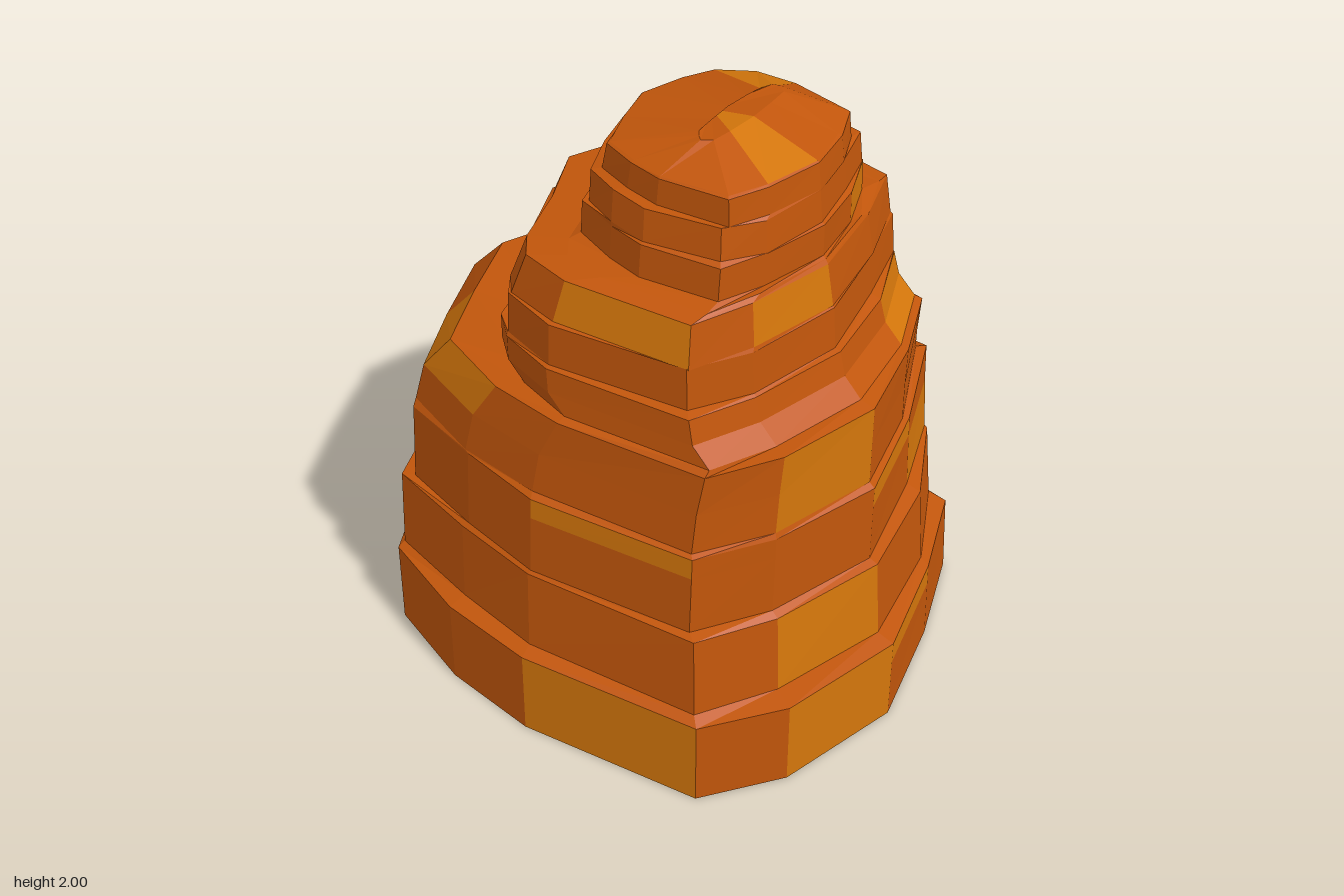
import * as THREE from 'three';

// Normalised outlines of the rock seen from above, from the back round by +x
const BROAD = [
  [-0.03, -1], [0.42, -0.86], [0.74, -0.72], [0.96, -0.38], [1, 0.05], [0.89, 0.73], [0.48, 0.89],
  [-0.03, 1], [-0.57, 0.88], [-0.9, 0.71], [-1, 0.03], [-0.94, -0.33], [-0.82, -0.7], [-0.44, -0.86],
];
const N = BROAD.length;
// The middle tiers narrow towards a blunt point at the back
const POINTED = BROAD.map(([u, v]) => (v < 0.1 && v > -1 ? [u * (1 + 0.06 * v), v + 0.17 * (v < -0.5 ? 0.4 : -1)] : [u, v]));

// Rings of each tier from the ground up: [y, xMin, xMax, zFront, zBack]
const TIERS = [
  [[0, -0.78, 0.77, 0.91, -0.92], [0.305, -0.78, 0.74, 0.91, -0.92]],
  [[0.32, -0.73, 0.75, 0.85, -0.88], [0.595, -0.71, 0.73, 0.83, -0.88]],
  [[0.605, -0.7, 0.73, 0.8, -0.84], [0.885, -0.69, 0.69, 0.8, -0.83]],
  [[0.9, -0.67, 0.625, 0.78, -0.83], [1.04, -0.655, 0.615, 0.78, -0.79], [1.18, -0.64, 0.6, 0.78, -0.66]],
  [[1.19, -0.61, 0.6, 0.73, -0.4], [1.25, -0.61, 0.595, 0.67, -0.46], [1.33, -0.605, 0.585, 0.65, -0.46]],
  [[1.335, -0.59, 0.58, 0.63, -0.45], [1.475, -0.585, 0.57, 0.62, -0.44]],
  [[1.48, -0.57, 0.565, 0.615, -0.43], [1.615, -0.54, 0.55, 0.59, -0.37], [1.628, -0.48, 0.48, 0.58, -0.22]],
  [[1.635, -0.42, 0.39, 0.57, -0.16], [1.74, -0.41, 0.385, 0.57, -0.16]],
  [[1.745, -0.4, 0.37, 0.56, -0.15], [1.845, -0.385, 0.365, 0.55, -0.15]],
  [[1.85, -0.355, 0.315, 0.55, -0.11], [1.935, -0.35, 0.31, 0.54, -0.09]],
  [[1.94, -0.345, 0.305, 0.535, -0.085], [2, -0.2, 0.18, 0.31, 0.22]],
];
// Tiers whose wall is split by a line of chips below the rim
const SPLIT = [0, 2];
TIERS.forEach((rings, n) => {
  if (SPLIT.includes(n)) rings.splice(1, 0, rings[0].map((a, i) => a + 0.74 * (rings[1][i] - a)));
});

// Ochre segments of each band of each tier, the last band being the ledge or crown
const OCHRE = [
  [[7, 9, 12], [6, 7, 9, 12], [4]],
  [[7, 2], []],
  [[4, 5], [4, 6, 9], []],
  [[2, 7, 12], [2, 7, 11, 12], []],
  [[5], [5], []],
  [[12], []],
  [[4, 7, 9], [], [0, 13]],
  [[5], []],
  [[], []],
  [[], []],
  [[2, 3, 7], [7]],
];

// Corner points of one ring, with a little unevenness between the extreme points
function ringPoints([y, x0, x1, zf, zb], tier) {
  const zc = (zf + zb) / 2, hz = (zf - zb) / 2;
  const outline = tier >= 4 && tier <= 6 ? POINTED : BROAD;
  return outline.map(([u, v], i) => {
    const free = Math.abs(u) < 0.95 && Math.abs(v) < 0.95;
    const k = free ? 1 + 0.015 * Math.sin(i * 4.1 + tier * 2.3) : 1;
    let dy = free && tier > 0 && tier < 9 ? 0.006 * Math.sin(i * 2.7 + tier * 1.9) : 0;
    // The third ledge rises at its front corner
    if (i === 5 && y > 0.88 && y < 0.91) dy += 0.07;
    return [(u < 0 ? -u * x0 : u * x1) * k, y > 0 ? y + dy : 0, zc + v * hz * k];
  });
}

export function createModel() {
  const group = new THREE.Group();
  group.name = 'layeredRock';
  const rust = new THREE.MeshStandardMaterial({ color: 0xc2560b });
  rust.name = 'rust rock';
  const ochre = new THREE.MeshStandardMaterial({ color: 0xd4760b });
  ochre.name = 'ochre rock';
  rust.flatShading = ochre.flatShading = true;

  const tiers = TIERS.map((rings, n) => rings.map((r) => ringPoints(r, n)));

  tiers.forEach((tier, n) => {
    const last = n + 1 === tiers.length;
    const faces = [[], []];
    const tri = (paint, a, b, c) => faces[paint].push(...a, ...b, ...c);
    const band = (low, high, painted) => {
      for (let i = 0; i < N; i++) {
        const j = (i + 1) % N, p = painted.includes(i) ? 1 : 0;
        tri(p, low[j], low[i], high[i]);
        tri(p, low[j], high[i], high[j]);
      }
    };
    // Walls, then the ledge up to the next tier
    const rings = last ? tier : [...tier, tiers[n + 1][0]];
    for (let k = 0; k + 1 < rings.length; k++) band(rings[k], rings[k + 1], OCHRE[n][k]);
    // Closed crown
    if (last) {
      const top = rings[rings.length - 1];
      for (let i = 0; i < N; i++) tri(OCHRE[n][1].includes(i) ? 1 : 0, [-0.02, 1.98, 0.17], top[(i + 1) % N], top[i]);
    }
    // Flat underside
    if (n === 0) for (let i = 0; i < N; i++) tri(0, [0, 0, 0], rings[0][i], rings[0][(i + 1) % N]);

    const geometry = new THREE.BufferGeometry();
    geometry.setAttribute('position', new THREE.Float32BufferAttribute([...faces[0], ...faces[1]], 3));
    geometry.addGroup(0, faces[0].length / 3, 0);
    if (faces[1].length) geometry.addGroup(faces[0].length / 3, faces[1].length / 3, 1);
    geometry.computeVertexNormals();
    const mesh = new THREE.Mesh(geometry, [rust, ochre]);
    mesh.name = last ? 'rockCrown' : `rockTier${n + 1}`;
    group.add(mesh);
  });
  return group;
}
